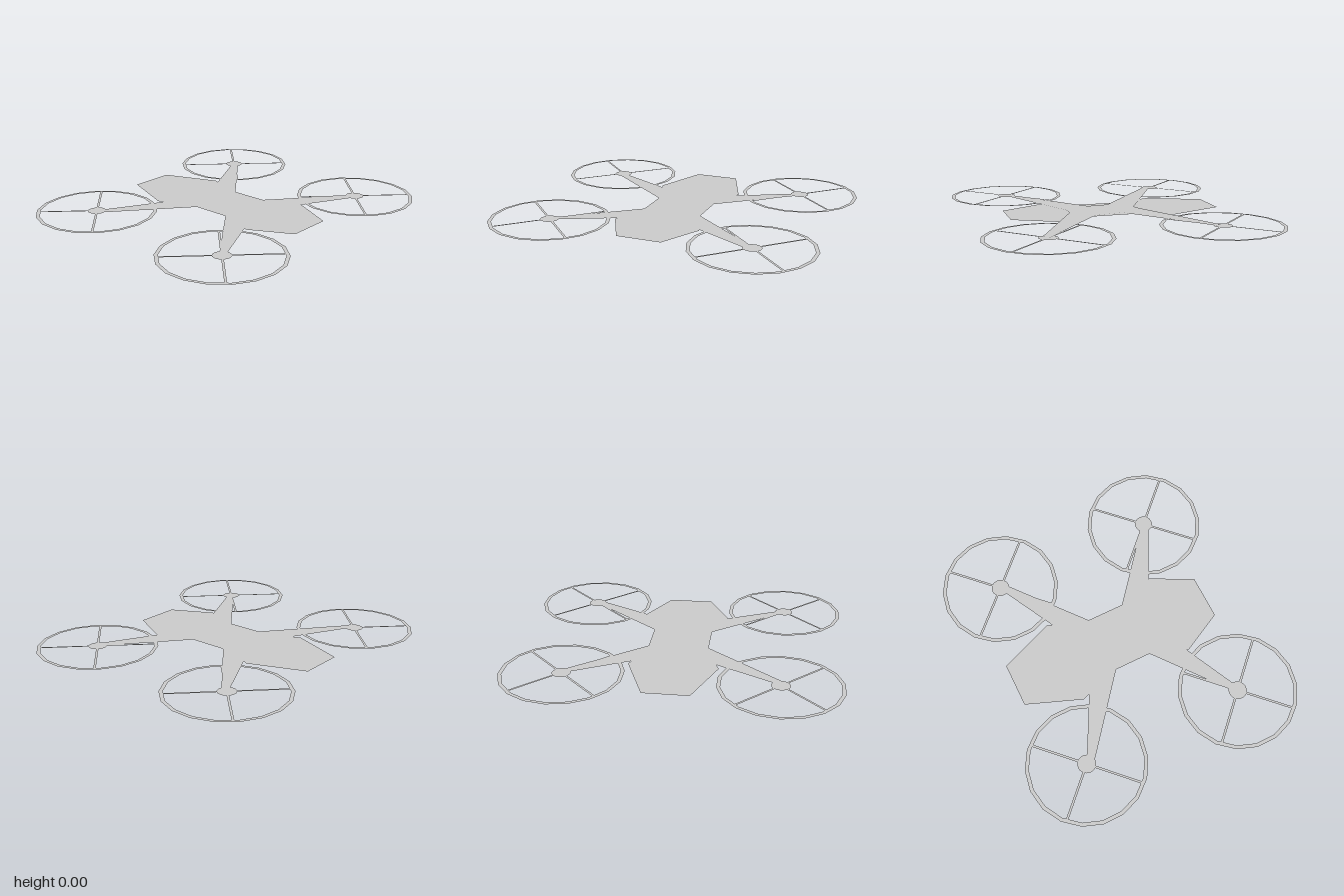
import * as THREE from 'three';

const material = new THREE.MeshStandardMaterial({ color: 0xcccccc, flatShading: true, side: THREE.DoubleSide });

// Lays a flat geometry on the ground plane, facing up.
function sheet(name, geometry, y = 0) {
  geometry.rotateX(-Math.PI / 2);
  const mesh = new THREE.Mesh(geometry, material);
  mesh.name = name;
  mesh.position.y = y;
  return mesh;
}

// Flat outline given as [x, z] points.
function outline(points) {
  return new THREE.ShapeGeometry(new THREE.Shape(points.map(([x, z]) => new THREE.Vector2(x, -z))));
}

function createRotor() {
  const outer = 0.369, inner = 0.346, hub = 0.056;
  const rotor = new THREE.Group();
  rotor.name = 'rotor';
  // Guard ring with a corner pointing forwards and backwards
  rotor.add(sheet('guardRing', new THREE.RingGeometry(inner, outer, 18, 1, Math.PI / 2)));
  rotor.add(sheet('hub', new THREE.CircleGeometry(hub, 24)));
  // Four diagonal spokes from hub to ring
  for (let i = 0; i < 4; i++) {
    const length = inner - hub + 0.006;
    const spoke = new THREE.PlaneGeometry(length, 0.014);
    spoke.translate(hub + length / 2 - 0.003, 0, 0);
    spoke.rotateZ(Math.PI / 4 + i * Math.PI / 2);
    rotor.add(sheet('spoke', spoke));
  }
  return rotor;
}

export function createModel() {
  const model = new THREE.Group();
  model.name = 'quadcopter';

  // Waisted body plate, mirrored left to right
  const half = [[0.138, -0.695], [0.27, -0.355], [0.185, -0.15], [0.185, 0.14], [0.27, 0.37], [0.138, 0.627]];
  const mirrored = half.map(([x, z]) => [-x, z]).reverse();
  model.add(sheet('body', outline([...half, ...mirrored])));

  // Slightly irregular cross of four tapering arms, lying just above the body
  model.add(sheet('arms', outline([
    [-0.02, -0.19], [0.04, -0.21], [0.61, -0.51], [0.63, -0.47],
    [0.135, -0.065], [0.16, 0.11], [0.64, 0.505], [0.61, 0.54],
    [0.045, 0.245], [-0.035, 0.245], [-0.605, 0.52], [-0.625, 0.485],
    [-0.12, 0.085], [-0.13, -0.05], [-0.635, -0.46], [-0.6, -0.495],
  ]), 0.002));

  // Four rotors at the arm tips
  for (const x of [-1, 1]) {
    for (const z of [-1, 1]) {
      const rotor = createRotor();
      rotor.name = (z > 0 ? 'front' : 'back') + (x > 0 ? 'Left' : 'Right') + 'Rotor';
      rotor.position.set(x * 0.636, 0, z * 0.514);
      model.add(rotor);
    }
  }
  return model;
}
